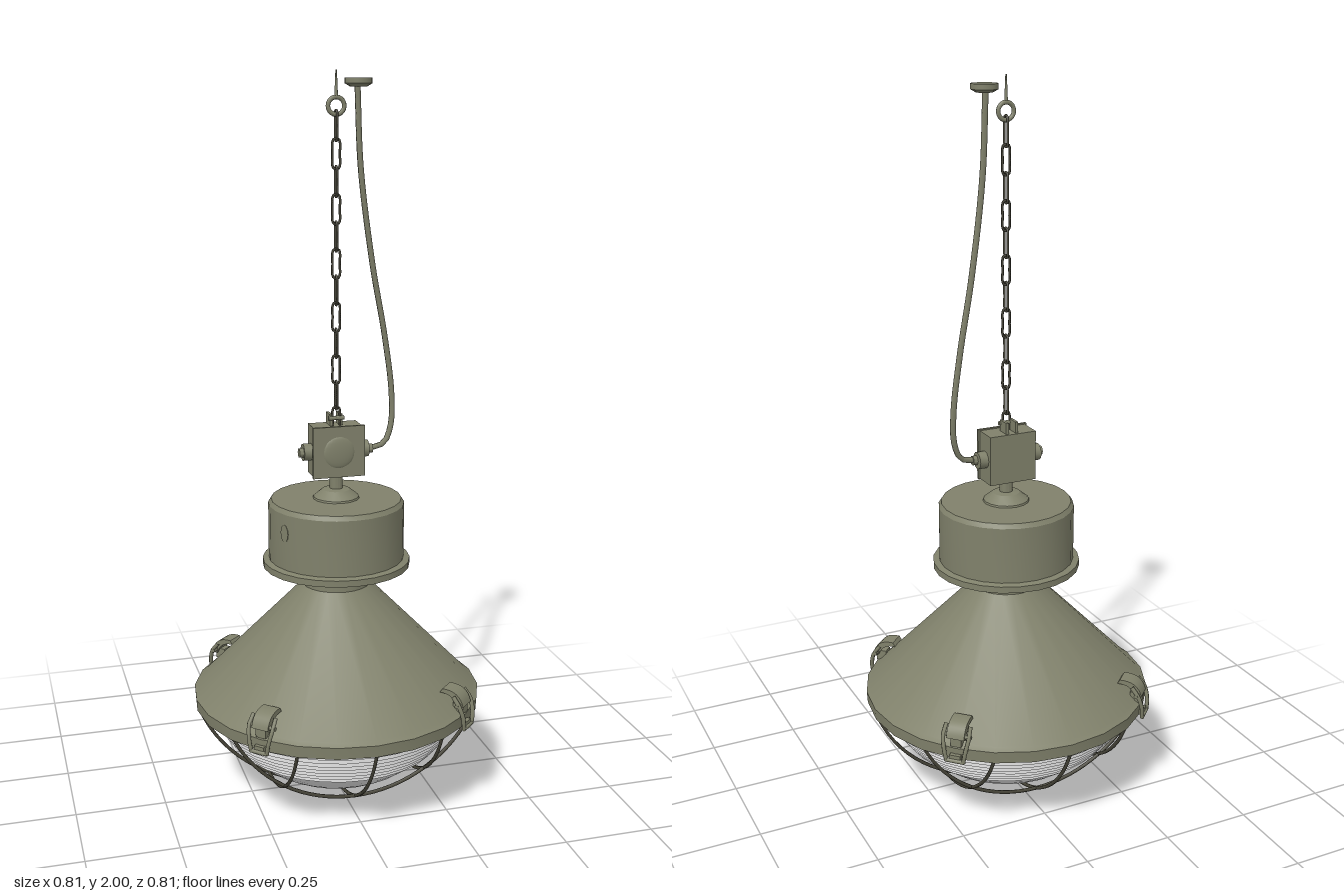
import * as THREE from 'three';
import { toCreasedNormals } from 'three/addons/utils/BufferGeometryUtils.js';

export function createModel() {
  const model = new THREE.Group();
  model.name = 'pendantLamp';
  const material = (name, color) => {
    const m = new THREE.MeshStandardMaterial({ color });
    m.name = name;
    return m;
  };
  const paint = material('olive paint', 0x80816b);
  const metal = material('dark metal', 0x48463a);
  const glass = material('pale glass', 0xe6e6e6);

  const add = (name, geo, mat = paint, parent = model) => {
    const mesh = new THREE.Mesh(geo, mat);
    mesh.name = name;
    parent.add(mesh);
    return mesh;
  };
  const group = (name) => {
    const g = new THREE.Group();
    g.name = name;
    model.add(g);
    return g;
  };
  const v = (x, y, z) => new THREE.Vector3(x, y, z);
  const lathe = (pts, seg = 24) => toCreasedNormals(
    new THREE.LatheGeometry(pts.map(([x, y]) => new THREE.Vector2(x, y)), seg), 0.45);
  const box = (w, h, d, x, y, z) => new THREE.BoxGeometry(w, h, d).translate(x, y, z);
  const tube = (pts, r, seg = 24, closed = false) =>
    new THREE.TubeGeometry(new THREE.CatmullRomCurve3(pts, closed), seg, r, 6, closed);
  const rodX = (r, x0, x1, y, z) => toCreasedNormals(
    new THREE.CylinderGeometry(r, r, x1 - x0, 12).rotateZ(Math.PI / 2).translate((x0 + x1) / 2, y, z), 0.6);

  // Conical shade with rim and neck
  add('shade', lathe([[0.355, 0.285], [0.355, 0.27], [0.402, 0.27], [0.404, 0.303], [0.39, 0.312],
    [0.095, 0.615], [0.095, 0.69]]));

  // Ballast drum with grooved collar
  add('drum', lathe([[0.09, 0.685], [0.125, 0.685], [0.125, 0.672], [0.145, 0.672], [0.145, 0.688],
    [0.172, 0.688], [0.172, 0.67], [0.205, 0.67], [0.205, 0.688], [0.188, 0.692], [0.188, 0.848],
    [0.18, 0.86], [0, 0.86]]));
  const plate = add('drumPlate', new THREE.CylinderGeometry(0.025, 0.025, 0.008, 12).rotateX(Math.PI / 2));
  plate.position.set(-0.165, 0.795, 0.083);
  plate.rotation.y = -Math.atan2(0.165, 0.083);
  plate.scale.x = 0.6;
  add('drumCap', lathe([[0.065, 0.858], [0.063, 0.865], [0.038, 0.885], [0.018, 0.888], [0.018, 0.928], [0, 0.928]], 16));

  // Glass bowl: a spherical cap, smooth below and stepped in rings above
  const glassY = 0.42, glassR = 0.395;
  const bowlR = (y) => Math.sqrt(glassR ** 2 - (glassY - y) ** 2);
  const profile = [];
  for (let i = 0; i <= 8; i++) {
    const a = (i / 8) * Math.acos((glassY - 0.145) / glassR);
    profile.push([glassR * Math.sin(a), glassY - glassR * Math.cos(a)]);
  }
  const rings = 9, pitch = 0.125 / rings;
  for (let i = 0; i < rings; i++) {
    const y = 0.147 + i * pitch, r = bowlR(y + pitch / 2);
    profile.push([r, y], [r, y + pitch * 0.8]);
  }
  profile.push([0.362, 0.28]);
  add('glassBowl', lathe(profile, 32), glass);

  // Wire guard: three bars each way, slices of one larger sphere
  const guard = group('wireGuard');
  const guardY = 0.4315, guardR = 0.4265;
  for (const turn of [0, 1]) {
    for (const off of [-0.2, 0, 0.2]) {
      const r = Math.sqrt(guardR ** 2 - off ** 2);
      const reach = Math.acos((guardY - 0.273) / r);
      const pts = [];
      for (let i = -8; i <= 8; i++) {
        const a = (i / 8) * reach;
        pts.push(v(r * Math.sin(a), guardY - r * Math.cos(a), off));
      }
      add('guardBar', tube(pts, 0.005, 32), metal, guard).rotation.y = turn * Math.PI / 2;
    }
  }

  // Four latches around the rim: curved lever with a wire bail
  const lever = new THREE.Shape();
  lever.moveTo(0.338, 0.362);
  lever.quadraticCurveTo(0.378, 0.366, 0.395, 0.325);
  lever.lineTo(0.408, 0.332);
  lever.quadraticCurveTo(0.398, 0.378, 0.345, 0.374);
  lever.closePath();
  const leverGeo = toCreasedNormals(
    new THREE.ExtrudeGeometry(lever, { depth: 0.05, bevelEnabled: false, curveSegments: 8 }).translate(0, 0, -0.025), 0.6);
  for (let i = 0; i < 4; i++) {
    const latch = group('latch');
    latch.rotation.y = Math.PI / 4 + i * Math.PI / 2;
    add('latchLever', leverGeo, paint, latch);
    add('latchBase', box(0.03, 0.03, 0.03, 0.388, 0.322, 0), paint, latch);
    add('latchHook', box(0.014, 0.016, 0.03, 0.406, 0.278, 0), paint, latch);
    for (const s of [-1, 1]) {
      add('latchWire', tube([v(0.382, 0.362, s * 0.034), v(0.402, 0.335, s * 0.036),
        v(0.412, 0.30, s * 0.03), v(0.412, 0.268, s * 0.024)], 0.006, 14), paint, latch);
    }
    for (const [x, y, length] of [[0.396, 0.338, 0.084], [0.412, 0.27, 0.052]]) {
      add('latchPin', new THREE.CylinderGeometry(0.006, 0.006, length, 8).rotateX(Math.PI / 2)
        .translate(x, y, 0), paint, latch);
    }
  }

  // Junction box with lid and cable glands
  add('junctionBox', box(0.136, 0.138, 0.07, 0, 0.995, -0.01));
  add('junctionLid', box(0.146, 0.142, 0.008, 0, 0.996, 0.027));
  const dome = add('lidDome', new THREE.SphereGeometry(0.045, 20, 10));
  dome.position.set(0, 0.995, 0.029);
  dome.scale.z = 0.18;
  for (const s of [-1, 1]) {
    const gland = group('cableGland');
    const span = (a, b) => (s > 0 ? [a, b] : [-b, -a]);
    add('glandNut', rodX(0.024, ...span(0.066, 0.092), 0.992, -0.01), paint, gland);
    add('glandTip', rodX(0.013, ...span(0.09, 0.104), 0.992, -0.005), paint, gland);
  }

  // Hanging bracket on the box
  for (const s of [-1, 1]) add('bracketEar', box(0.008, 0.036, 0.04, s * 0.014, 1.077, -0.018));
  add('bracketPin', rodX(0.006, -0.022, 0.022, 1.085, 0));

  // Chain of alternating links
  const w = 0.01, h = 0.038;
  const linkGeo = tube([v(-w, -h * 0.8, 0), v(-w, 0, 0), v(-w, h * 0.8, 0), v(-w * 0.6, h, 0), v(w * 0.6, h, 0),
    v(w, h * 0.8, 0), v(w, 0, 0), v(w, -h * 0.8, 0), v(w * 0.6, -h, 0), v(-w * 0.6, -h, 0)], 0.0034, 32, true);
  const chain = group('chain');
  for (let i = 0; i < 12; i++) {
    const link = add('chainLink', linkGeo, metal, chain);
    link.position.y = 1.077 + 0.0712 * i;
    link.rotation.y = (i % 2) * Math.PI / 2;
  }

  // Ceiling eye hook
  add('eyeRing', new THREE.TorusGeometry(0.022, 0.006, 8, 20).translate(0, 1.91, 0));
  add('eyeScrew', new THREE.CylinderGeometry(0.002, 0.005, 0.068, 8).translate(0, 1.966, 0));

  // Power cord and ceiling rose
  add('powerCord', tube([v(0.057, 1.965, 0), v(0.068, 1.75, -0.003), v(0.104, 1.5, -0.012), v(0.143, 1.3, -0.02),
    v(0.164, 1.14, -0.02), v(0.160, 1.05, -0.014), v(0.138, 1.004, -0.008), v(0.09, 0.992, -0.005)], 0.008, 48));
  add('ceilingRose', lathe([[0, 1.958], [0.022, 1.958], [0.036, 1.966], [0.036, 1.98], [0, 1.98]], 20)
    .translate(0.06, 0, 0));

  return model;
}
